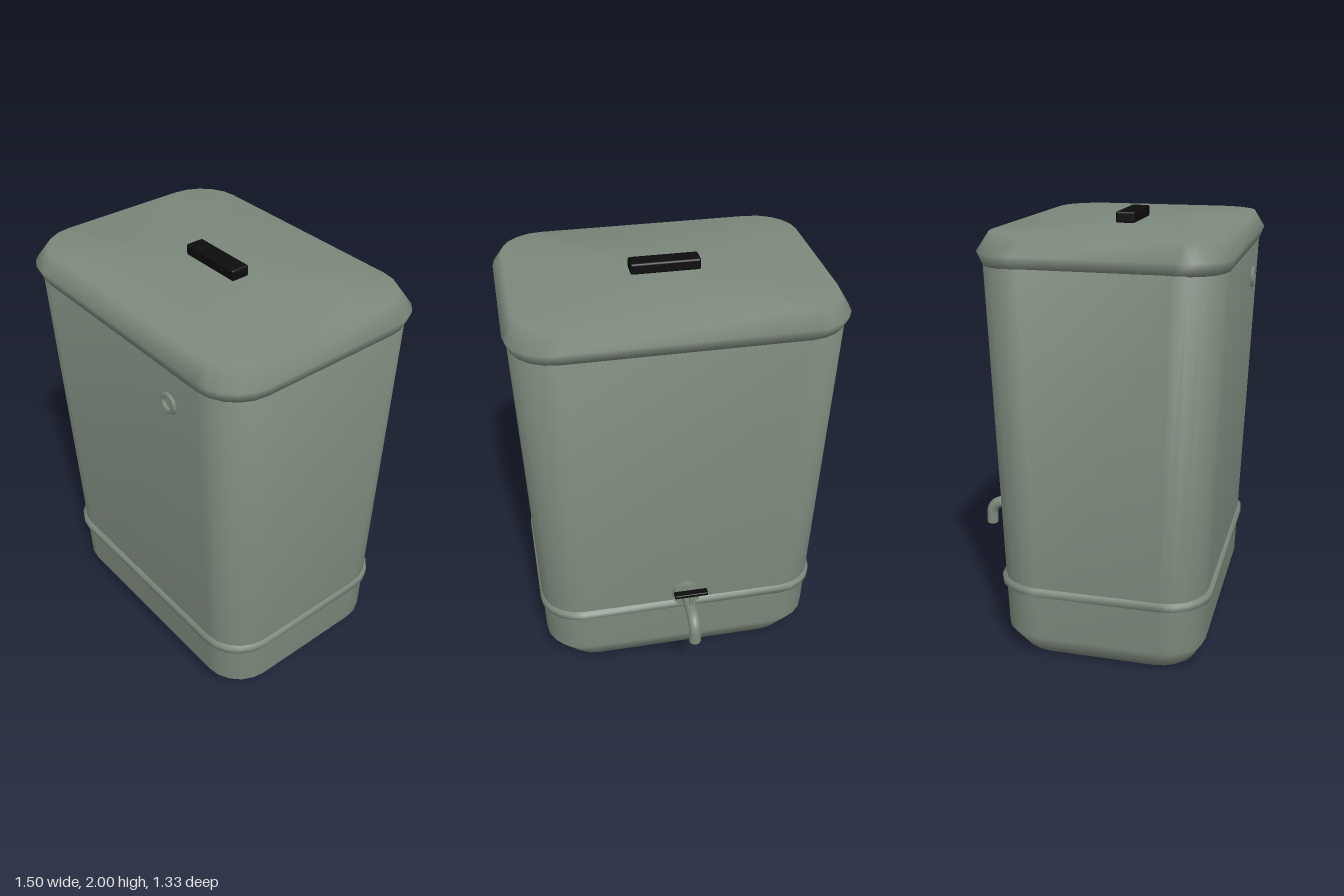
import * as THREE from 'three';
import { RoundedBoxGeometry } from 'three/addons/geometries/RoundedBoxGeometry.js';

const CENTRE_Z = 0.118;
const CORNER_STEPS = 5;

// Points of a rounded rectangle, counter-clockwise seen in (x, z)
function roundedRing(hx, hz, r) {
  const pts = [];
  [[1, 1], [-1, 1], [-1, -1], [1, -1]].forEach(([sx, sz], q) => {
    for (let i = 0; i <= CORNER_STEPS; i++) {
      const a = (q + i / CORNER_STEPS) * Math.PI / 2;
      pts.push([sx * (hx - r) + r * Math.cos(a), sz * (hz - r) + r * Math.sin(a)]);
    }
  });
  return pts;
}

// Smooth loft through levels [y, halfWidth, halfDepth, cornerRadius], bottom to top
function loft(levels, capBottom, capTop) {
  const pos = [], index = [];
  const n = 4 * (CORNER_STEPS + 1);
  levels.forEach(([y, hx, hz, r]) => roundedRing(hx, hz, r).forEach(([x, z]) => pos.push(x, y, z)));
  for (let l = 0; l < levels.length - 1; l++) {
    for (let i = 0; i < n; i++) {
      const a = l * n + i, b = l * n + (i + 1) % n;
      index.push(a, a + n, b, b, a + n, b + n);
    }
  }
  const cap = (l, up) => {
    const c = pos.length / 3;
    pos.push(0, levels[l][0], 0);
    for (let i = 0; i < n; i++) {
      const a = l * n + i, b = l * n + (i + 1) % n;
      index.push(...(up ? [c, b, a] : [c, a, b]));
    }
  };
  if (capBottom) cap(0, false);
  if (capTop) cap(levels.length - 1, true);
  const g = new THREE.BufferGeometry();
  g.setAttribute('position', new THREE.Float32BufferAttribute(pos, 3));
  g.setIndex(index);
  g.computeVertexNormals();
  return g;
}

export function createModel() {
  const model = new THREE.Group();
  model.name = 'waterButt';
  const plastic = new THREE.MeshStandardMaterial({ color: 0x7d897c });
  plastic.name = 'greyGreenPlastic';
  const black = new THREE.MeshStandardMaterial({ color: 0x0c0c0c });
  black.name = 'blackPlastic';

  const add = (name, geometry, material, x, y, z, parent = model) => {
    const mesh = new THREE.Mesh(geometry, material);
    mesh.name = name;
    mesh.position.set(x, y, z);
    parent.add(mesh);
    return mesh;
  };

  // Tapered tank with a chamfered foot
  add('tank', loft([
    [0, 0.6, 0.415, 0.17],
    [0.11, 0.682, 0.47, 0.19],
    [1.83, 0.735, 0.525, 0.2],
  ], true, true), plastic, 0, 0, CENTRE_Z);

  // Raised band around the lower tank
  add('band', loft([
    [0.32, 0.685, 0.475, 0.19],
    [0.331, 0.701, 0.495, 0.2],
    [0.359, 0.701, 0.495, 0.2],
    [0.37, 0.685, 0.475, 0.19],
  ], false, false), plastic, 0, 0, CENTRE_Z);

  // Lid with sloping rim
  add('lid', loft([
    [1.815, 0.733, 0.527, 0.2],
    [1.87, 0.751, 0.546, 0.2],
    [1.95, 0.705, 0.503, 0.2],
  ], true, true), plastic, 0, 0, CENTRE_Z);
  add('lidHandle', new RoundedBoxGeometry(0.32, 0.052, 0.088, 2, 0.01), black, 0, 1.974, 0.116);

  // Overflow plug ring on the front
  add('overflowRing', new THREE.TorusGeometry(0.04, 0.013, 8, 8), plastic, 0.34, 1.65, 0.638);

  // Tap on the back
  const tap = new THREE.Group();
  tap.name = 'tap';
  model.add(tap);
  add('tapFlange', new THREE.CylinderGeometry(0.068, 0.068, 0.025, 24), plastic, 0, 0.47, -0.43, tap)
    .rotation.x = Math.PI / 2;

  const path = new THREE.CurvePath();
  const v = (y, z) => new THREE.Vector3(0, y, z);
  path.add(new THREE.LineCurve3(v(0.47, -0.425), v(0.47, -0.565)));
  path.add(new THREE.CubicBezierCurve3(v(0.47, -0.565), v(0.47, -0.603), v(0.441, -0.632), v(0.403, -0.632)));
  path.add(new THREE.LineCurve3(v(0.403, -0.632), v(0.35, -0.632)));
  add('tapSpout', new THREE.TubeGeometry(path, 32, 0.029, 16, false), plastic, 0, 0, 0, tap);
  add('spoutEnd', new THREE.CircleGeometry(0.029, 16), plastic, 0, 0.35, -0.632, tap)
    .rotation.x = Math.PI / 2;

  add('tapStem', new THREE.CylinderGeometry(0.01, 0.01, 0.08, 12), plastic, 0, 0.525, -0.533, tap);
  add('tapLever', new RoundedBoxGeometry(0.16, 0.018, 0.036, 2, 0.005), black, 0, 0.564, -0.533, tap);

  return model;
}
